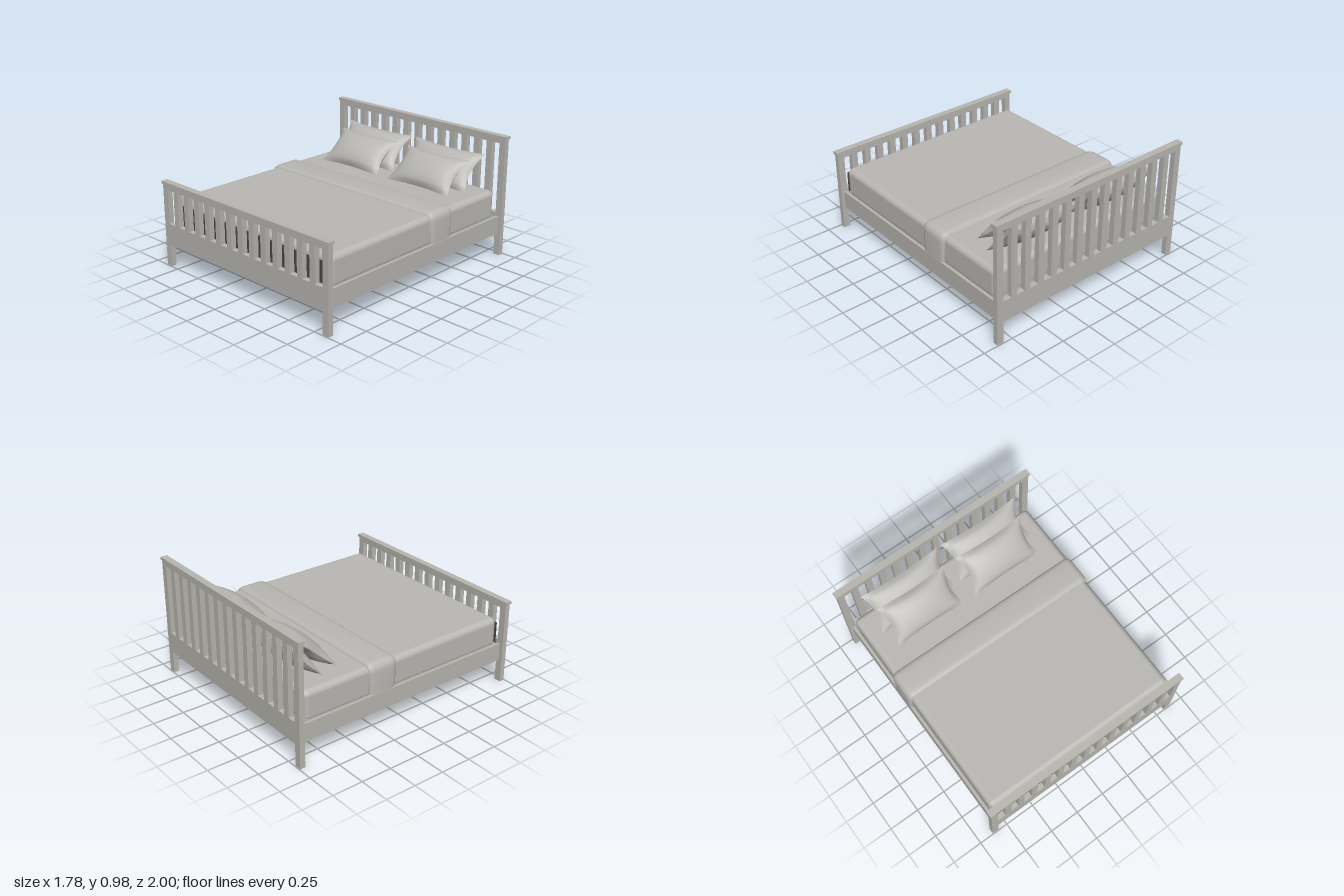
import * as THREE from 'three';
import { toCreasedNormals } from 'three/addons/utils/BufferGeometryUtils.js';
import { RoundedBoxGeometry } from 'three/addons/geometries/RoundedBoxGeometry.js';

const flat = (name, color) => Object.assign(new THREE.MeshStandardMaterial({ color }), { name });

export function createModel() {
  const bed = new THREE.Group();
  bed.name = 'bed';
  const wood = flat('painted wood', 0xb8b6b0);
  const fabric = flat('linen', 0xbab8b4);
  const dark = flat('dark cloth', 0x4d4942);

  function add(name, geometry, material, x = 0, y = 0, z = 0) {
    const mesh = new THREE.Mesh(geometry, material);
    mesh.name = name;
    mesh.position.set(x, y, z);
    bed.add(mesh);
    return mesh;
  }
  const box = (name, w, h, d, material, x, y, z) =>
    add(name, new THREE.BoxGeometry(w, h, d), material, x, y, z);

  // End board: two legs, lower panel, top rail and 13 slats between 14 openings
  function endBoard(name, top, z) {
    const outer = 0.88, inner = 0.825, low = 0.18, panelTop = 0.353;
    const shape = new THREE.Shape([
      [-outer, 0], [-inner, 0], [-inner, low], [inner, low], [inner, 0],
      [outer, 0], [outer, top - 0.02], [-outer, top - 0.02],
    ].map(([x, y]) => new THREE.Vector2(x, y)));
    const slat = 0.052, pitch = (2 * inner + slat) / 14;
    for (let i = 0; i < 14; i++) {
      const a = -inner + i * pitch, b = a + pitch - slat, t = top - 0.06;
      shape.holes.push(new THREE.Path([
        new THREE.Vector2(a, panelTop), new THREE.Vector2(a, t),
        new THREE.Vector2(b, t), new THREE.Vector2(b, panelTop),
      ]));
    }
    const geometry = new THREE.ExtrudeGeometry(shape, { depth: 0.043, bevelEnabled: false });
    add(name, geometry, wood, 0, 0, z - 0.0215);
    box(name + 'Cap', 1.78, 0.022, 0.055, wood, 0, top - 0.011, z);
  }
  endBoard('headboard', 0.982, -0.9725);
  endBoard('footboard', 0.69, 0.9725);

  // Side rails and the base under the mattress
  for (const side of [-1, 1]) {
    box(side > 0 ? 'leftRail' : 'rightRail', 0.022, 0.147, 1.91, wood, side * 0.841, 0.2535, 0);
  }
  box('mattressBase', 1.66, 0.03, 1.83, fabric, 0, 0.32, 0.005);

  // Mattress with softened edges, and the dark cloth hanging at its foot
  add('mattress', new RoundedBoxGeometry(1.665, 0.245, 1.835, 3, 0.045), fabric, 0, 0.4285, 0.004);
  box('footCloth', 1.65, 0.315, 0.006, dark, 0, 0.3475, 0.924);

  // Folded blanket band draped over the mattress
  const bw = 0.828, bt = 0.548, bevel = 0.025;
  const bandShape = new THREE.Shape();
  bandShape.moveTo(-bw, 0.355);
  bandShape.lineTo(bw, 0.355);
  bandShape.lineTo(bw, bt - 0.045);
  bandShape.quadraticCurveTo(bw, bt, bw - 0.04, bt);
  bandShape.lineTo(-bw + 0.04, bt);
  bandShape.quadraticCurveTo(-bw, bt, -bw, bt - 0.045);
  const band = new THREE.ExtrudeGeometry(bandShape, {
    depth: 0.15, bevelThickness: 0.05, bevelSize: bevel, bevelSegments: 4, curveSegments: 5,
  });
  add('blanketFold', toCreasedNormals(band, 1.2), fabric, 0, 0, -0.31);

  // Pillow: a box squeezed to thin edges, with sides drawn in between the corners
  function pillowGeometry(w, h, t) {
    const geometry = new THREE.BoxGeometry(2, 2, 2, 20, 14, 1);
    const p = geometry.attributes.position;
    for (let i = 0; i < p.count; i++) {
      const u = p.getX(i), v = p.getY(i);
      const a = Math.max(0, 1 - u * u), b = Math.max(0, 1 - v * v);
      p.setXYZ(i,
        u * w / 2 * (1 - 0.13 * b * u * u),
        v * h / 2 * (1 - 0.1 * a * v * v),
        p.getZ(i) * t / 2 * Math.pow(a * b, 0.55));
    }
    geometry.computeVertexNormals();
    return geometry;
  }
  const frontPillow = pillowGeometry(0.62, 0.35, 0.15);
  const backPillow = pillowGeometry(0.70, 0.36, 0.15);
  for (const side of [-1, 1]) {
    const label = side > 0 ? 'left' : 'right';
    add(label + 'FrontPillow', frontPillow, fabric, side * 0.363, 0.67, -0.65).rotation.x = -0.85;
    add(label + 'BackPillow', backPillow, fabric, side * 0.37, 0.685, -0.8).rotation.x = -0.755;
  }
  return bed;
}
